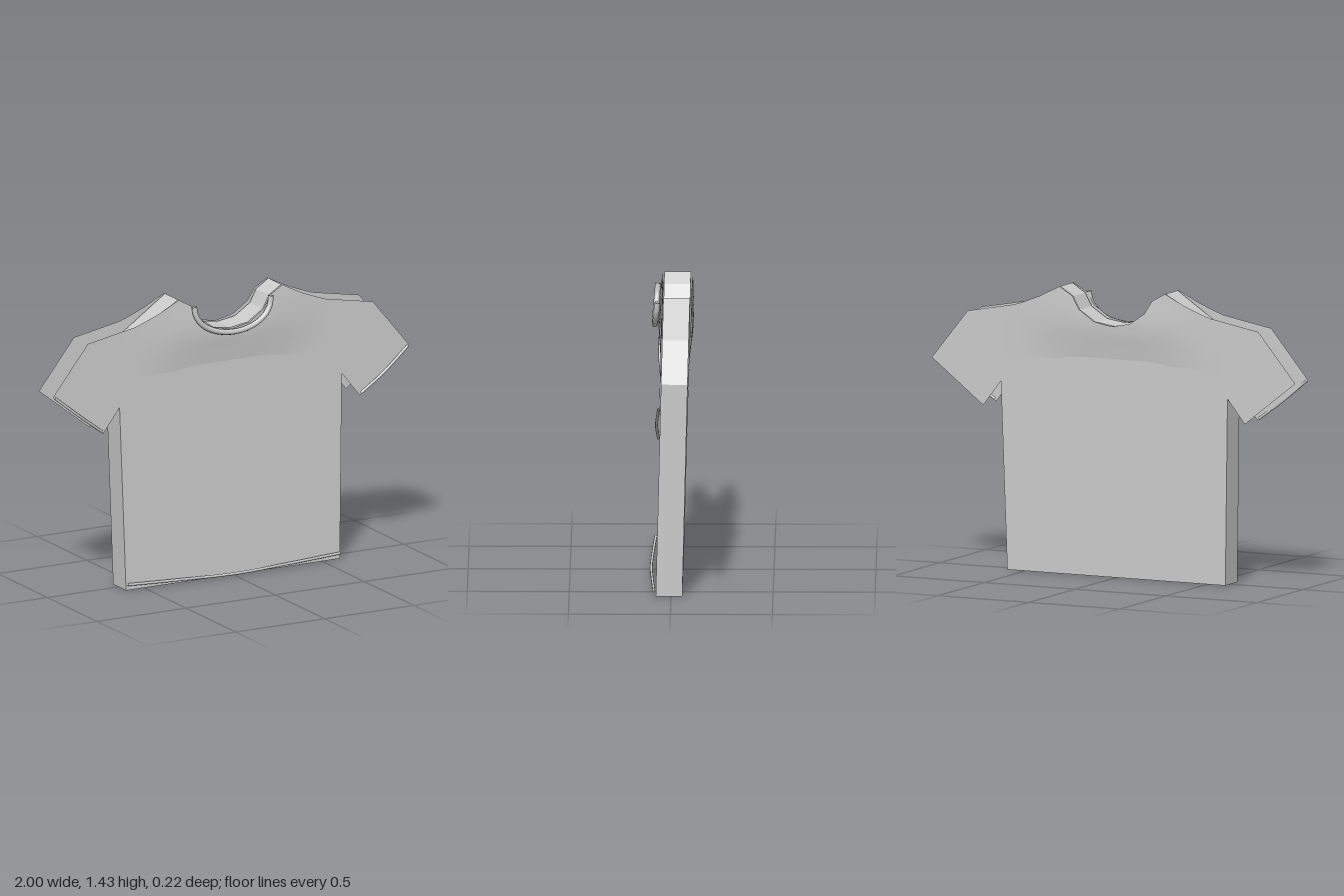
import * as THREE from 'three';

const cloth = new THREE.MeshStandardMaterial({ color: 0xcccccc, side: THREE.DoubleSide });
cloth.name = 'plain cloth';

// piecewise-linear lookup through [key, value] pairs
function along(pairs, k) {
  for (let i = 1; i < pairs.length; i++) {
    const [a, va] = pairs[i - 1], [b, vb] = pairs[i];
    if (k <= b) return va + (vb - va) * Math.max(0, (k - a) / (b - a));
  }
  return pairs[pairs.length - 1][1];
}

const LEAN = 0.0245; // the torso leans back with height
const FRONT = 0.075, BACK = -0.055;

const topEdge = [[0, 1.25], [0.1, 1.27], [0.18, 1.325], [0.22, 1.39], [0.29, 1.43],
  [0.4, 1.375], [0.53, 1.325], [0.8, 1.275], [1, 1.03]];
const bottomEdge = [[0, 1.07], [0.5, 1.07], [0.54, 1.04], [0.72, 0.81], [1, 1.03]];
const chestBulge = [[1.07, -0.002], [1.14, 0.007], [1.21, 0.017], [1.27, 0.021], [1.34, 0.018], [1.43, 0.011]];

// how far the yoke sheet stands off the torso
function standOff(x, y) {
  const t = THREE.MathUtils.smoothstep(x, 0.15, 0.6);
  return along(chestBulge, y) * (1 - t) + 0.005 * t;
}

// thin sheet that carries the chest yoke and both sleeves
function yokeSheet(name, side) {
  const half = [0, 0.05, 0.1, 0.14, 0.18, 0.22, 0.29, 0.34, 0.4, 0.47, 0.5, 0.54, 0.62, 0.72, 0.8, 0.9, 1];
  const xs = [...half.slice(1).reverse().map(x => -x), ...half];
  const rows = 10, pos = [], idx = [];
  xs.forEach((x, i) => {
    const ax = Math.abs(x), lo = along(bottomEdge, ax), hi = along(topEdge, ax);
    for (let j = 0; j <= rows; j++) {
      const y = lo + (hi - lo) * j / rows;
      const base = (side > 0 ? FRONT : BACK) - LEAN * y;
      pos.push(x, y, base + side * standOff(ax, y));
      if (i && j) {
        const d = i * (rows + 1) + j, c = d - 1, b = d - rows - 1, a = b - 1;
        if (side > 0) idx.push(a, c, d, a, d, b);
        else idx.push(a, d, c, a, b, d);
      }
    }
  });
  const g = new THREE.BufferGeometry();
  g.setAttribute('position', new THREE.Float32BufferAttribute(pos, 3));
  g.setIndex(idx);
  g.computeVertexNormals();
  return mesh(name, g);
}

function mesh(name, geometry) {
  const m = new THREE.Mesh(geometry, cloth);
  m.name = name;
  return m;
}

function band(name, points, radius) {
  const curve = new THREE.CatmullRomCurve3(points.map(p => new THREE.Vector3(...p)));
  return mesh(name, new THREE.TubeGeometry(curve, 32, radius, 8));
}

export function createModel() {
  const model = new THREE.Group();
  model.name = 'shirt';

  // torso: mirrored outline, extruded and leaned back
  const side = [[0.6, 0], [0.627, 1.07], [0.525, 1.27], [0.29, 1.43], [0.22, 1.385], [0.185, 1.32], [0.1, 1.265]];
  const outline = [...side, [0, 1.25], ...side.slice().reverse().map(([x, y]) => [-x, y])];
  const torso = new THREE.ExtrudeGeometry(
    new THREE.Shape(outline.map(p => new THREE.Vector2(...p))),
    { depth: FRONT - BACK, bevelEnabled: false });
  const p = torso.attributes.position;
  for (let i = 0; i < p.count; i++) p.setZ(i, p.getZ(i) + BACK - LEAN * p.getY(i));
  torso.computeVertexNormals();
  model.add(mesh('torso', torso));

  // yoke and sleeve sheets
  model.add(yokeSheet('frontSleeves', 1), yokeSheet('backSleeves', -1));

  // collar
  const collar = [];
  for (let i = 0; i <= 12; i++) {
    const a = Math.PI * i / 12;
    collar.push([-0.215 * Math.cos(a), 1.39 - 0.151 * Math.sin(a) ** 0.9, 0.071 + 0.014 * Math.sin(a)]);
  }
  model.add(band('collar', collar, 0.014));

  // bottom hem, bowed forward and down
  model.add(band('bottomHem', [[-0.595, 0.031, 0.085], [-0.3, 0.02, 0.095], [0, 0.012, 0.102],
    [0.3, 0.02, 0.095], [0.595, 0.031, 0.085]], 0.007));

  // sleeve hems on the front sheets
  for (const s of [1, -1]) {
    model.add(band(s > 0 ? 'leftSleeveHem' : 'rightSleeveHem',
      [[s * 0.727, 0.822, 0.06], [s * 0.855, 0.918, 0.069], [s * 0.99, 1.027, 0.058]], 0.007));
  }
  return model;
}
